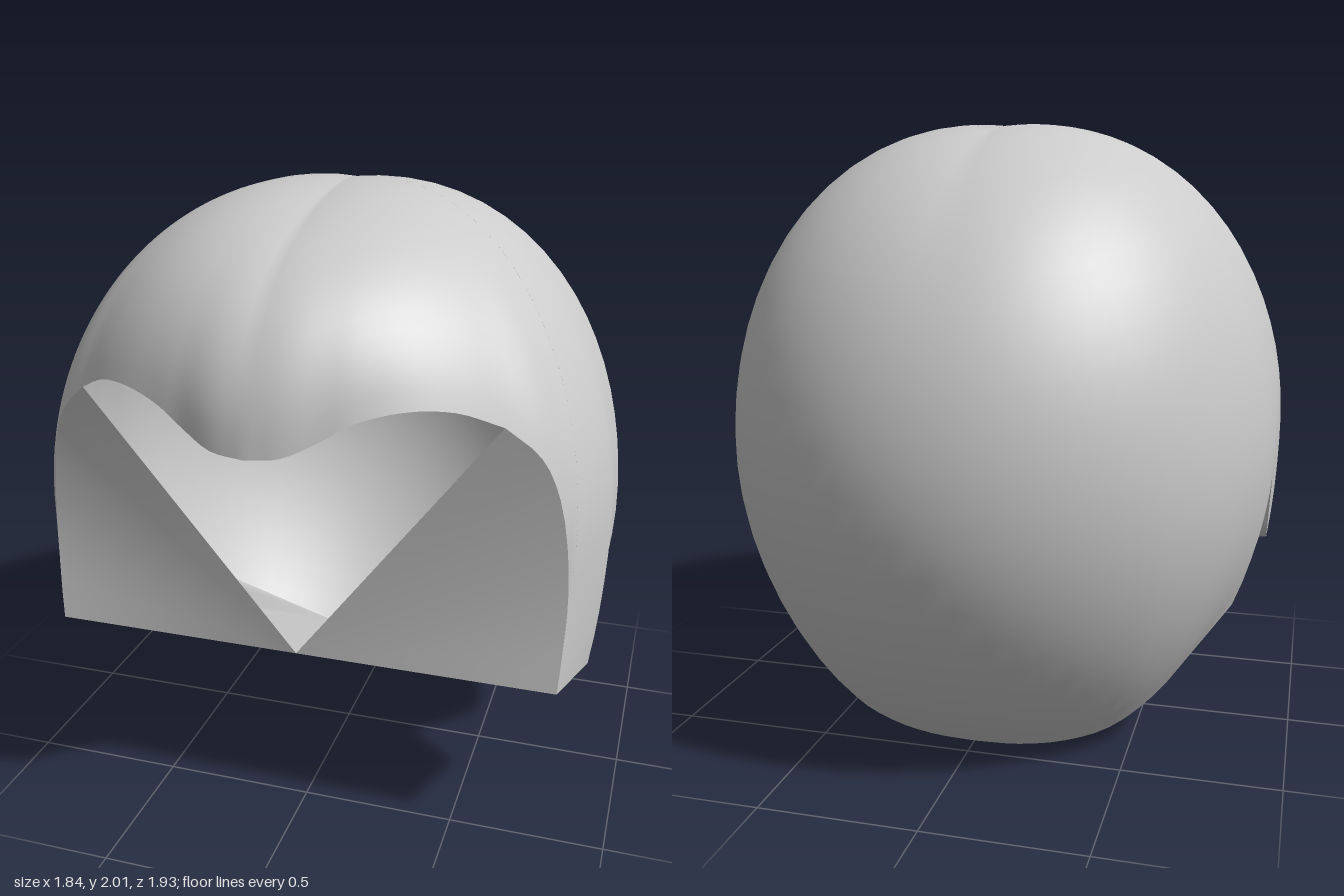
import * as THREE from 'three';

const SEMI = new THREE.Vector3(0.91, 1, 0.965); // body half sizes, centred at y = 1
const ROWS = 24;

// Half of the rim, from front centre to back centre
const FRINGE = [
  [0, 1.395, 0.965], [0.1, 1.405, 0.95], [0.2, 1.45, 0.91],
  [0.28, 1.495, 0.88], [0.4, 1.52, 0.82], [0.52, 1.505, 0.74], [0.64, 1.445, 0.65],
];
const FACE_EDGE = [
  [0.64, 1.445, 0.65], [0.74, 1.35, 0.605], [0.795, 1.22, 0.575],
  [0.83, 1.0, 0.556], [0.835, 0.8, 0.56], [0.825, 0.595, 0.58],
];
const SIDE_EDGE = [
  [0.825, 0.595, 0.58], [0.89, 0.56, 0.31], [0.905, 0.805, 0.225], [0.87, 0.615, 0.07], [0.8, 0.43, -0.08],
];
const NAPE = [
  [0.8, 0.43, -0.08], [0.69, 0.3, -0.18], [0.57, 0.165, -0.28], [0.44, 0.075, -0.36], [0.3, 0.03, -0.4],
  [0.15, 0.008, -0.42], [0, 0.003, -0.425],
];

const toVectors = (points) => points.map((p) => new THREE.Vector3(...p));
const smooth = (points, n) => new THREE.CatmullRomCurve3(toVectors(points)).getPoints(n);
const mirror = (p) => new THREE.Vector3(-p.x, p.y, p.z);

// Straight-sided edge, each segment cut in four
function straight(points) {
  const path = new THREE.CurvePath();
  const corners = toVectors(points);
  for (let i = 1; i < corners.length; i++) path.add(new THREE.LineCurve3(corners[i - 1], corners[i]));
  return path.curves.flatMap((c, i) => c.getPoints(4).slice(i ? 1 : 0));
}

function makeMesh(name, positions, index) {
  const geometry = new THREE.BufferGeometry();
  geometry.setAttribute('position', new THREE.Float32BufferAttribute(positions, 3));
  geometry.setIndex(index);
  geometry.computeVertexNormals();
  const material = new THREE.MeshStandardMaterial({ color: 0xcccccc, side: THREE.DoubleSide });
  const mesh = new THREE.Mesh(geometry, material);
  mesh.name = name;
  return mesh;
}

// Triangle fan from a centre through a row of points
function fan(name, center, points) {
  const positions = [center, ...points].flatMap((p) => p.toArray());
  const index = [];
  for (let i = 1; i < points.length; i++) index.push(0, i, i + 1);
  return makeMesh(name, positions, index);
}

// Radius of the body in a unit direction: a sphere with soft swellings
function bodyRadius(d) {
  const side = Math.abs(d.x);
  const front = Math.max(0, d.z);
  const up = Math.max(0, d.y);
  const low = Math.max(0, -d.y);
  const fromBrow = d.x ** 2 + (d.y - 0.6) ** 2 + (d.z - 0.8) ** 2;
  const cheek = 0.19 * side * front + 1.4 * low * low * front;
  const brow = 0.145 * Math.exp(-fromBrow / 0.2);
  return 1 + cheek + brow + 0.1 * side * up * up + 0.09 * low ** 4;
}

// Domed shell: arcs swept from the crown down to every point of the rim
function makeShell(half) {
  const rim = [...half, ...half.slice(1, -1).reverse().map(mirror)];
  const crown = new THREE.Vector3(0, 0.99, -0.12).normalize();
  const positions = [];
  const put = (v) => positions.push(v.x * SEMI.x, 1 + v.y * SEMI.y, v.z * SEMI.z);
  put(crown);
  for (const point of rim) {
    const end = new THREE.Vector3(point.x, point.y - 1, point.z).divide(SEMI);
    const reach = end.length();
    end.normalize();
    const angle = crown.angleTo(end);
    const rest = reach - bodyRadius(end);
    for (let j = 1; j <= ROWS; j++) {
      const t = j / ROWS;
      const p = crown.clone().multiplyScalar(Math.sin((1 - t) * angle));
      p.addScaledVector(end, Math.sin(t * angle)).normalize();
      put(p.multiplyScalar(bodyRadius(p) + rest * t ** 5));
    }
  }

  const index = [];
  const id = (i, j) => (j === 0 ? 0 : 1 + (i % rim.length) * ROWS + j - 1);
  for (let i = 0; i < rim.length; i++) {
    index.push(0, id(i, 1), id(i + 1, 1));
    for (let j = 1; j < ROWS; j++) {
      index.push(id(i, j), id(i, j + 1), id(i + 1, j));
      index.push(id(i + 1, j), id(i, j + 1), id(i + 1, j + 1));
    }
  }
  return makeMesh('shell', positions, index);
}

export function createModel() {
  const group = new THREE.Group();
  group.name = 'hairCap';
  const faceEdge = smooth(FACE_EDGE, 15);
  const sideEdge = straight(SIDE_EDGE);
  group.add(makeShell([
    ...smooth(FRINGE, 24), ...faceEdge.slice(1), ...sideEdge.slice(1), ...smooth(NAPE, 18).slice(1),
  ]));

  // Cheek panels meeting in a V at the front
  const chin = new THREE.Vector3(0, 0.595, 0.58);
  group.add(fan('leftCheekPanel', chin, [...faceEdge].reverse()));
  group.add(fan('rightCheekPanel', chin, faceEdge.map(mirror)));

  // Folded floor between the front edge and the side notches, open at the nape
  const floorEdge = [...[...sideEdge].reverse(), ...sideEdge.map(mirror)];
  group.add(fan('floor', new THREE.Vector3(0, 0.52, 0.21), floorEdge));
  return group;
}
